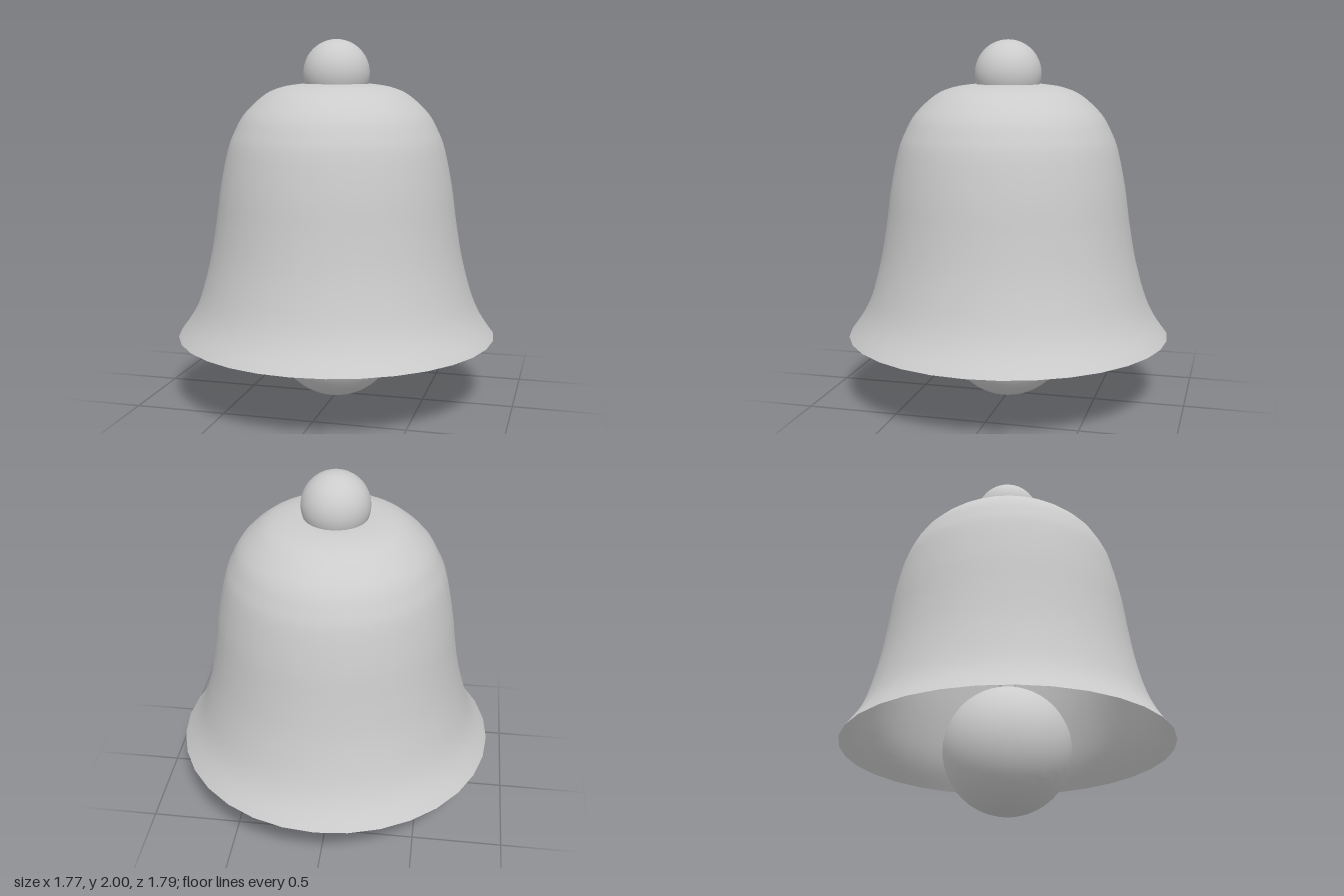
import * as THREE from 'three';

export function createModel() {
  const model = new THREE.Group();
  const material = new THREE.MeshStandardMaterial({ color: 0xcccccc });
  const shellMaterial = new THREE.MeshStandardMaterial({ color: 0xcccccc, side: THREE.DoubleSide });

  function add(name, geometry, y, mat = material) {
    const mesh = new THREE.Mesh(geometry, mat);
    mesh.name = name;
    mesh.position.y = y;
    model.add(mesh);
    return mesh;
  }

  // Thin open shell: flared lip, waisted side, rounded shoulder, flat crown
  const side = new THREE.SplineCurve([
    [0.897, 0.365], [0.82, 0.475], [0.765, 0.6], [0.711, 0.8], [0.676, 1.0],
    [0.648, 1.2], [0.606, 1.4], [0.568, 1.5], [0.51, 1.6], [0.4, 1.7],
    [0.3, 1.742], [0.2, 1.758],
  ].map(([r, y]) => new THREE.Vector2(r, y)));
  const profile = [...side.getPoints(44), new THREE.Vector2(0.1, 1.76), new THREE.Vector2(0, 1.76)];
  const shell = add('bellShell', new THREE.LatheGeometry(profile, 32), 0, shellMaterial);
  shell.scale.x = 0.987; // the shell is slightly narrower across than deep

  // Ball on the crown
  add('topKnob', new THREE.SphereGeometry(0.183, 32, 24), 1.817);

  // Clapper hanging on its rod inside the shell
  add('clapperBall', new THREE.SphereGeometry(0.346, 32, 24), 0.346);
  add('clapperRod', new THREE.CylinderGeometry(0.044, 0.044, 1.14, 24), 1.185);

  return model;
}
